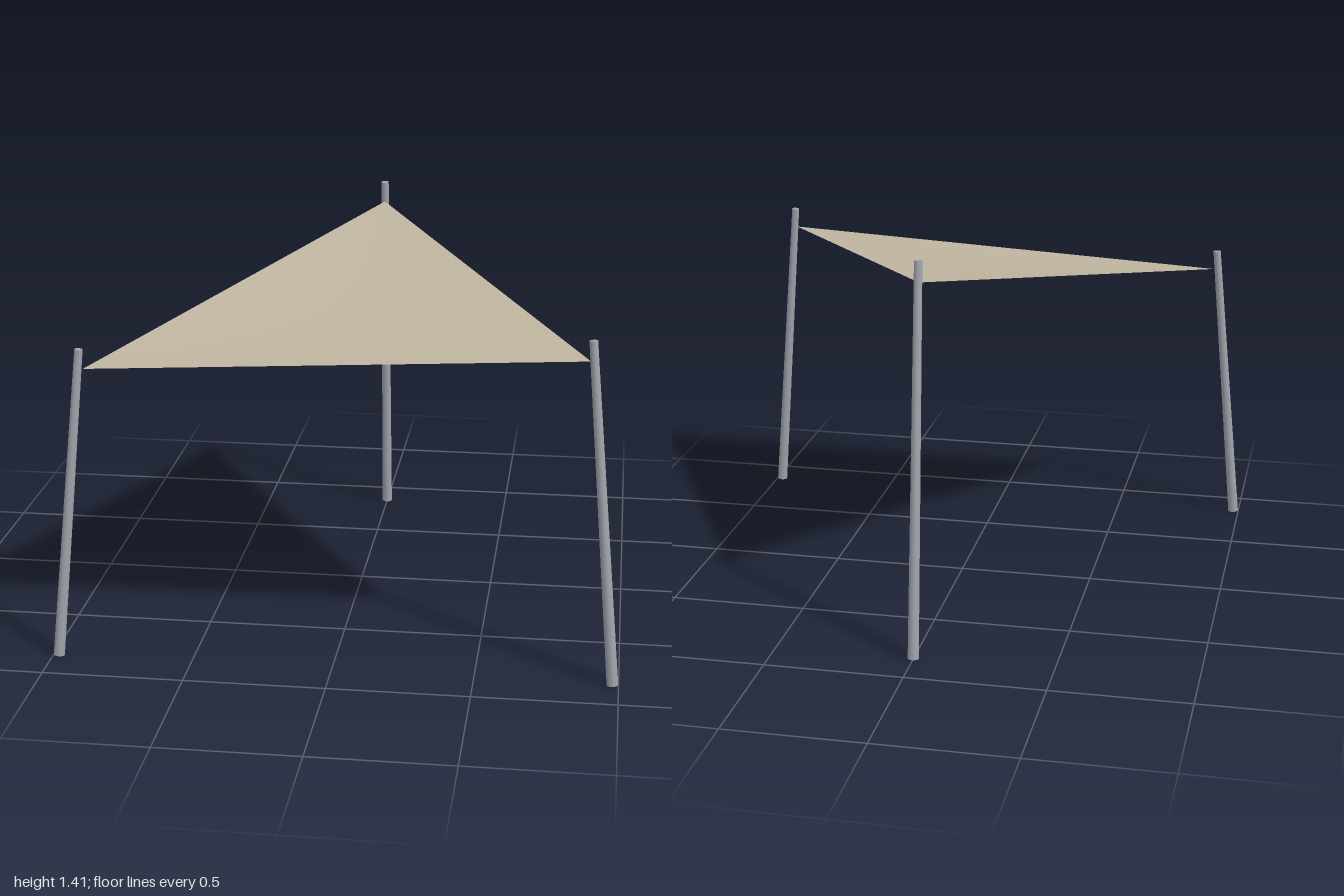
import * as THREE from 'three';

const fabric = new THREE.MeshStandardMaterial({ color: 0xbfb5a0, side: THREE.DoubleSide });
fabric.name = 'beige fabric';
const metal = new THREE.MeshStandardMaterial({ color: 0xa0a3ab });
metal.name = 'grey metal';

const v = (x, y, z) => new THREE.Vector3(x, y, z);

// Tapered round pole leaning from its foot to its tip
function pole(name, foot, tip) {
  const axis = tip.clone().sub(foot);
  const mesh = new THREE.Mesh(new THREE.CylinderGeometry(0.0145, 0.02, axis.length(), 16), metal);
  mesh.name = name;
  mesh.position.copy(foot).add(tip).multiplyScalar(0.5);
  mesh.quaternion.setFromUnitVectors(v(0, 1, 0), axis.normalize());
  return mesh;
}

// Triangular sheet with straight edges and a slight sag in the middle
function sail(a, b, c, sag, n = 16) {
  const points = [], index = [];
  const id = (i, j) => (i * (i + 1)) / 2 + j;
  for (let i = 0; i <= n; i++) {
    for (let j = 0; j <= i; j++) {
      const wa = 1 - i / n, wb = (i - j) / n, wc = j / n;
      const p = v(0, 0, 0).addScaledVector(a, wa).addScaledVector(b, wb).addScaledVector(c, wc);
      points.push(p.x, p.y - sag * 27 * wa * wb * wc, p.z);
      if (i < n) index.push(id(i, j), id(i + 1, j), id(i + 1, j + 1));
      if (i < n && j < i) index.push(id(i, j), id(i + 1, j + 1), id(i, j + 1));
    }
  }
  const geometry = new THREE.BufferGeometry();
  geometry.setAttribute('position', new THREE.Float32BufferAttribute(points, 3));
  geometry.setIndex(index);
  geometry.computeVertexNormals();
  const mesh = new THREE.Mesh(geometry, fabric);
  mesh.name = 'shadeSail';
  return mesh;
}

export function createModel() {
  const group = new THREE.Group();
  group.name = 'shadeSailCanopy';
  group.add(
    pole('backPole', v(0, 0.002, -0.847), v(0, 1.408, -0.728)),
    pole('leftPole', v(0.979, 0.002, 0.85), v(0.872, 1.217, 0.791)),
    pole('rightPole', v(-0.979, 0.002, 0.85), v(-0.876, 1.122, 0.791)),
    sail(v(0, 1.33, -0.72), v(-0.866, 1.05, 0.785), v(0.866, 1.143, 0.785), 0.018)
  );
  return group;
}
